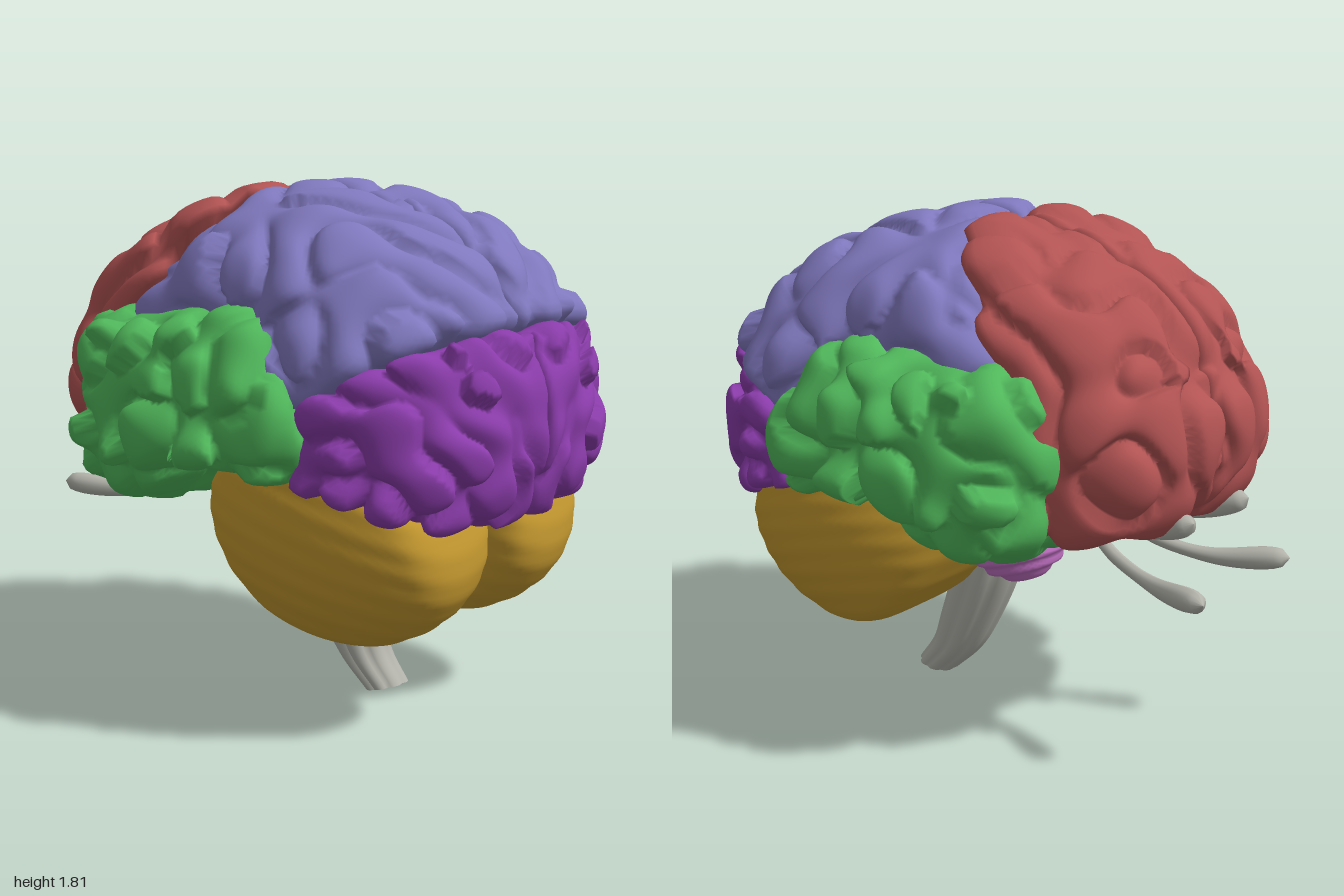
import * as THREE from 'three';
import { mergeVertices } from 'three/addons/utils/BufferGeometryUtils.js';

const step = THREE.MathUtils.smoothstep;

const paint = (name, color) => {
  const m = new THREE.MeshStandardMaterial({ color });
  m.name = name;
  return m;
};

// Evenly divided ball with shared vertices
function ball(detail) {
  const g = new THREE.IcosahedronGeometry(1, detail);
  g.deleteAttribute('uv');
  g.deleteAttribute('normal');
  return mergeVertices(g, 1e-4);
}

// Move every vertex of a geometry by a rule, then refresh the normals
function reshape(g, rule) {
  const p = g.attributes.position, v = new THREE.Vector3();
  for (let i = 0; i < p.count; i++) {
    rule(v.fromBufferAttribute(p, i), i);
    p.setXYZ(i, v.x, v.y, v.z);
  }
  g.computeVertexNormals();
  return g;
}

// Rounded intersection of two distances
function smax(a, b, k) {
  const h = Math.max(k - Math.abs(a - b), 0) / k;
  return Math.max(a, b) + h * h * k / 4;
}

// Signed distance to a closed outline in x, y
function outlineDistance(pts, x, y) {
  let d = Infinity, inside = false;
  for (let i = 0, j = pts.length - 1; i < pts.length; j = i++) {
    const [ax, ay] = pts[i], [bx, by] = pts[j];
    const ex = bx - ax, ey = by - ay, wx = x - ax, wy = y - ay;
    const t = Math.min(1, Math.max(0, (wx * ex + wy * ey) / (ex * ex + ey * ey)));
    d = Math.min(d, Math.hypot(wx - ex * t, wy - ey * t));
    if ((ay > y) !== (by > y) && x < ax + (y - ay) * ex / ey) inside = !inside;
  }
  return inside ? -d : d;
}

// Smooth closed outline through a few points
function curved(pts) {
  const curve = new THREE.CatmullRomCurve3(pts.map(([x, y]) => new THREE.Vector3(x, y, 0)), true);
  return curve.getPoints(30).slice(0, 30).map((p) => [p.x, p.y]);
}

// Winding folds: grooves follow the zero lines of a sum of plane waves
const waves = Array.from({ length: 7 }, (_, i) => {
  const z = 1 - (2 * i + 1) / 7, r = Math.sqrt(1 - z * z), a = i * 2.4;
  return [r * Math.cos(a), r * Math.sin(a), z, i * i * 1.7];
});
const folds = (freq) => (x, y, z) => {
  let f = 0;
  for (const [a, b, c, ph] of waves) f += Math.sin(freq * (a * x + b * y + c * z) + ph);
  return 0.06 * (Math.exp(-Math.sqrt(f * f + 0.06) / 1.3) - 0.25);
};
// Fine level ridges
const ridges = (x, y, z) => 0.002 * Math.sin(75 * (y + 0.25 * x) + 3 * Math.sin(5 * z));

// Overall bodies that bound the lobes
function cerebrum(x, y, z) {
  const width = 0.61 + 0.025 * step(x, -0.4, 0) + 0.105 * step(x, 0.15, 0.55);
  const e = Math.hypot((x - 0.05) / (x < 0.05 ? 0.97 : 0.95), (y - 1.05) / 0.76);
  return (Math.pow(e ** 4 + Math.abs(z / width) ** 2.6, 1 / 3.2) - 1) * 0.7;
}
const templeBulge = (x, y, z) => (Math.pow(Math.abs((x - 0.02) / 0.72) ** 4 + Math.abs((y - 1.08) / 0.43) ** 4
  + Math.abs(z / 0.81) ** 2.6, 1 / 3.2) - 1) * 0.6;
const littleBrain = (x, y, z) =>
  (Math.hypot((x - 0.37) / 0.54, (y - 0.72) / 0.455, (z - 0.28) / 0.375) - 1) * 0.42;

// Grow a ball outwards from the lobe's centre until it meets the lobe's bounds
function lobeGeometry(lobe, side) {
  const { center: [cx, cy, cz], body, relief, outline, inner = 0.002, round = 0.06, seam = 0.05, detail = 25 } = lobe;
  const bounds = (x, y, z) => {
    const r = relief(x, y, z);
    const shell = smax(body(x, y, z) + r, outlineDistance(outline, x, y) + r * 0.6, round);
    return smax(shell, inner - z, seam);
  };
  return reshape(ball(detail), (v) => {
    let lo = 0, hi = 1.5;
    for (let i = 0; i < 18; i++) {
      const mid = (lo + hi) / 2;
      if (bounds(cx + v.x * mid, cy + v.y * mid, cz + v.z * side * mid) < 0) lo = mid;
      else hi = mid;
    }
    v.set(cx + v.x * lo, cy + v.y * lo, side * cz + v.z * lo);
  });
}

// Tapered tube ending in a rounded club
function nerveGeometry(points, side) {
  const rows = 36, around = 12;
  const path = new THREE.CatmullRomCurve3(points.map(([x, y, z]) => new THREE.Vector3(x, y, z * side)));
  return reshape(new THREE.TubeGeometry(path, rows, 1, around, false), (v, i) => {
    const t = Math.floor(i / (around + 1)) / rows, c = path.getPointAt(t);
    const r = (0.023 + 0.019 * step(t, 0.6, 0.93)) * Math.sqrt(Math.max(0, 1 - Math.pow(t, 30)));
    v.sub(c).multiplyScalar(r).add(c);
  });
}

export function createModel() {
  const model = new THREE.Group();
  model.name = 'brain';
  const add = (name, geometry, material) => {
    const mesh = new THREE.Mesh(geometry, material);
    mesh.name = name;
    model.add(mesh);
  };
  const addPair = (name, material, lobe) => {
    for (const side of [1, -1]) add(name, lobeGeometry(lobe, side), material);
  };
  const grey = paint('grey', 0xb2b2aa);

  // Lobes of the cerebrum
  addPair('frontalLobe', paint('red', 0xb25353), {
    center: [-0.6, 1.2, 0.25], body: cerebrum, relief: folds(22), round: 0.1,
    outline: [[-0.01, 1.95], [-0.01, 1.74], [-0.2, 1.55], [-0.38, 1.36], [-0.4, 0.83], [-0.58, 0.79],
      [-0.78, 0.81], [-0.9, 0.92], [-1.1, 1.2], [-1.1, 1.95]],
  });
  addPair('parietalLobe', paint('blue', 0x7f78bd), {
    center: [0.25, 1.42, 0.28], body: cerebrum, relief: folds(23),
    outline: [[-0.05, 1.95], [-0.06, 1.74], [-0.22, 1.56], [-0.39, 1.37], [0, 1.12], [0.5, 1.13], [0.87, 1.36],
      [1.3, 1.6]],
  });
  addPair('occipitalLobe', paint('purple', 0x8b3cab), {
    center: [0.72, 1.03, 0.3], body: cerebrum, relief: folds(29),
    outline: [[0.45, 1.14], [0.86, 1.36], [1.1, 1.4], [1.1, 0.75], [0.87, 0.69], [0.65, 0.81], [0.42, 0.88]],
  });
  addPair('temporalLobe', paint('green', 0x50b75b), {
    center: [-0.05, 1.08, 0.5], body: templeBulge, relief: folds(24), inner: 0.22, round: 0.1,
    outline: curved([[-0.5, 1.37], [-0.1, 1.4], [0.25, 1.44], [0.37, 1.27], [0.52, 1.07], [0.45, 0.89],
      [0.02, 0.89], [-0.28, 0.69], [-0.52, 0.78], [-0.61, 0.97]]),
  });

  // Cerebellum halves
  addPair('cerebellum', paint('gold', 0xc4982f), {
    center: [0.38, 0.62, 0.3], body: littleBrain, relief: ridges, round: 0.06, seam: 0.12, detail: 22,
    outline: curved([[-0.08, 0.8], [0.1, 0.94], [0.5, 0.93], [0.78, 0.77], [0.83, 0.45], [0.6, 0.25],
      [0.3, 0.31], [0.04, 0.52]]),
  });

  // Inner core joining the two halves
  add('core', reshape(ball(8), (v) => v.set(v.x * 0.45, 1.05 + v.y * 0.3, v.z * 0.25)), grey);

  // Ribbed pons
  add('pons', reshape(ball(14), (v) => {
    const s = 1 + 0.035 * Math.sin(24 * (v.y + 0.3 * v.x));
    v.set(-0.04 + v.x * 0.18 * s, 0.62 + v.y * 0.17 * s, v.z * 0.2 * s);
  }), paint('pink', 0xc070c2));

  // Fluted brain stem, bending backwards as it goes down (third value is the half width)
  const spine = new THREE.CatmullRomCurve3([[0.335, 0.025, 0.072], [0.24, 0.13, 0.095], [0.18, 0.25, 0.115],
    [0.1, 0.45, 0.13], [0.05, 0.62, 0.12]].map((p) => new THREE.Vector3(...p)));
  add('brainStem', reshape(new THREE.CylinderGeometry(1, 1, 1, 48, 24), (v) => {
    const t = v.y + 0.5, c = spine.getPoint(t), a = Math.atan2(v.z, v.x);
    const flute = 1 - 0.1 * Math.pow(Math.abs(Math.cos(4 * a)), 6);
    const depth = 0.085 + 0.03 * Math.min(1, t * 1.4);
    v.set(c.x + v.x * c.z * flute, c.y + v.x * 0.018 * (1 - t), v.z * depth * flute);
  }), grey);

  // Two pairs of nerves reaching forwards
  for (const side of [1, -1]) {
    add('longNerve', nerveGeometry([[-0.1, 0.74, 0.06], [-0.4, 0.75, 0.09], [-0.56, 0.67, 0.13],
      [-0.75, 0.63, 0.19], [-1, 0.645, 0.29]], side), grey);
    add('shortNerve', nerveGeometry([[-0.15, 0.75, 0.06], [-0.45, 0.77, 0.1], [-0.7, 0.8, 0.14],
      [-0.89, 0.87, 0.18]], side), grey);
  }
  return model;
}
